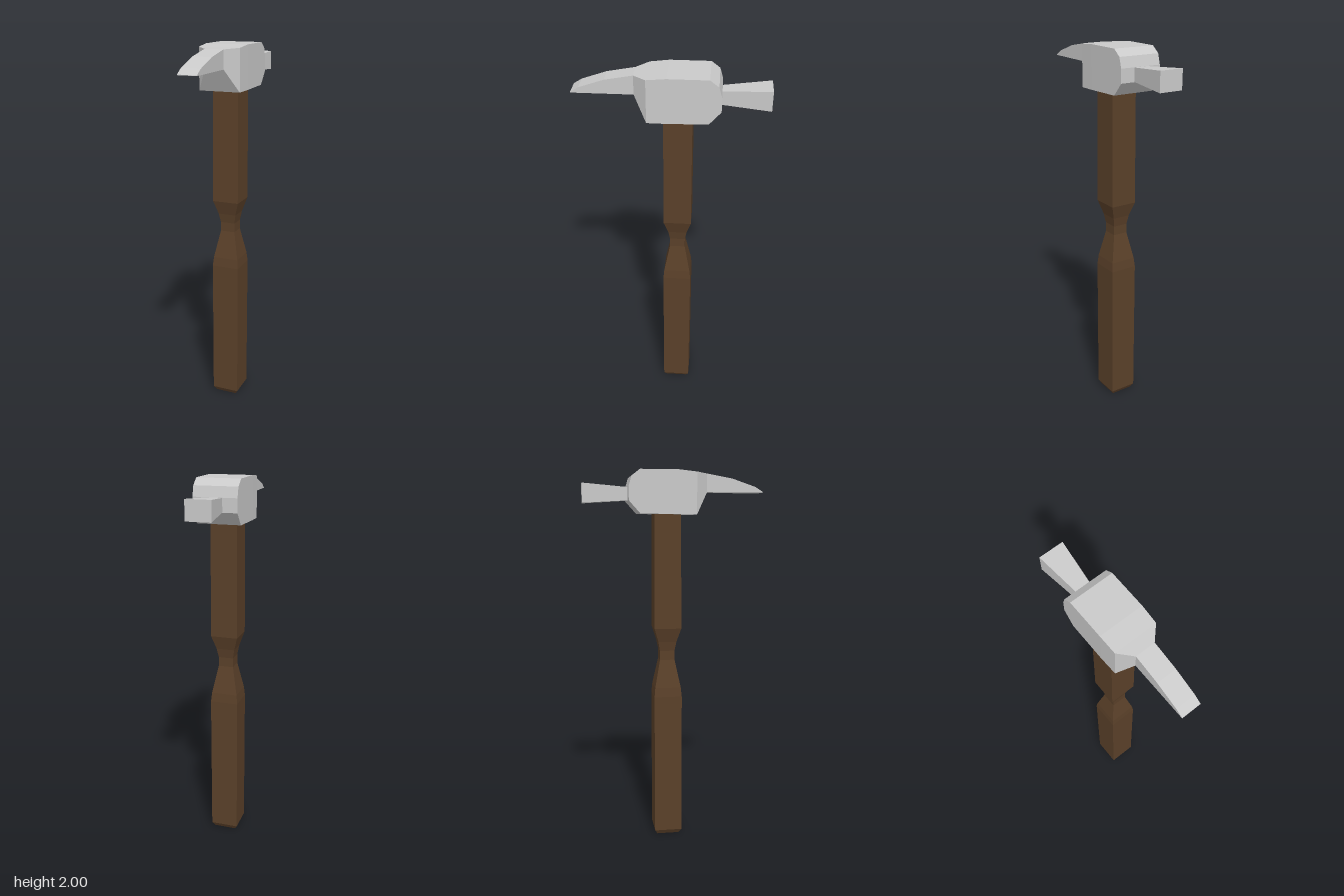
import * as THREE from 'three';

// Skins a row of four-cornered rings, each counter-clockwise seen from the last ring's end, and caps both ends.
function loft(rings) {
  const positions = [];
  const quad = (a, b, c, d) => positions.push(...a, ...b, ...c, ...a, ...c, ...d);
  for (let r = 0; r < rings.length - 1; r++) {
    const p = rings[r], q = rings[r + 1];
    for (let i = 0; i < 4; i++) {
      const j = (i + 1) % 4;
      quad(p[i], p[j], q[j], q[i]);
    }
  }
  quad(...[...rings[0]].reverse());
  quad(...rings[rings.length - 1]);
  const geometry = new THREE.BufferGeometry();
  geometry.setAttribute('position', new THREE.Float32BufferAttribute(positions, 3));
  geometry.computeVertexNormals();
  return geometry;
}

// Rectangular section across z: half width, bottom and top.
const zRing = ([z, w, bottom, top]) => [[-w, bottom, z], [w, bottom, z], [w, top, z], [-w, top, z]];

// Square section across y, centred on the handle's axis.
const HANDLE_Z = -0.037;
const yRing = ([y, w]) => [
  [-w, y, HANDLE_Z + w], [w, y, HANDLE_Z + w], [w, y, HANDLE_Z - w], [-w, y, HANDLE_Z - w],
];

export function createModel() {
  const wood = new THREE.MeshStandardMaterial({ color: 0x5a4029 });
  wood.name = 'brown wood';
  const steel = new THREE.MeshStandardMaterial({ color: 0xcacaca });
  steel.name = 'light steel';

  const model = new THREE.Group();
  model.name = 'hammer';
  const add = (name, geometry, material) => {
    const mesh = new THREE.Mesh(geometry, material);
    mesh.name = name;
    model.add(mesh);
  };

  // Handle with a chamfered foot and a narrow waist
  add('handle', loft([
    [0, 0.06], [0.025, 0.075], [0.8, 0.075], [0.85, 0.07], [1.0, 0.04],
    [1.05, 0.04], [1.1, 0.049], [1.175, 0.072], [1.79, 0.07],
  ].map(yRing)), wood);

  // Head block, bevelled at the back and narrowing into the front pick
  add('headAndPick', loft([
    [-0.243, 0.113, 1.845, 1.915],
    [-0.228, 0.113, 1.828, 1.967],
    [-0.185, 0.113, 1.78, 2.0],
    [0.015, 0.113, 1.776, 2.0],
    [0.11, 0.11, 1.775, 1.99],
    [0.173, 0.05, 1.89, 1.985],
    [0.31, 0.05, 1.89, 1.96],
    [0.435, 0.05, 1.89, 1.918],
    [0.475, 0.05, 1.89, 1.893],
  ].map(zRing)), steel);

  // Flared striking end at the back
  add('strikingEnd', loft([
    [-0.478, 0.064, 1.833, 1.933],
    [-0.24, 0.037, 1.847, 1.914],
  ].map(zRing)), steel);

  return model;
}
